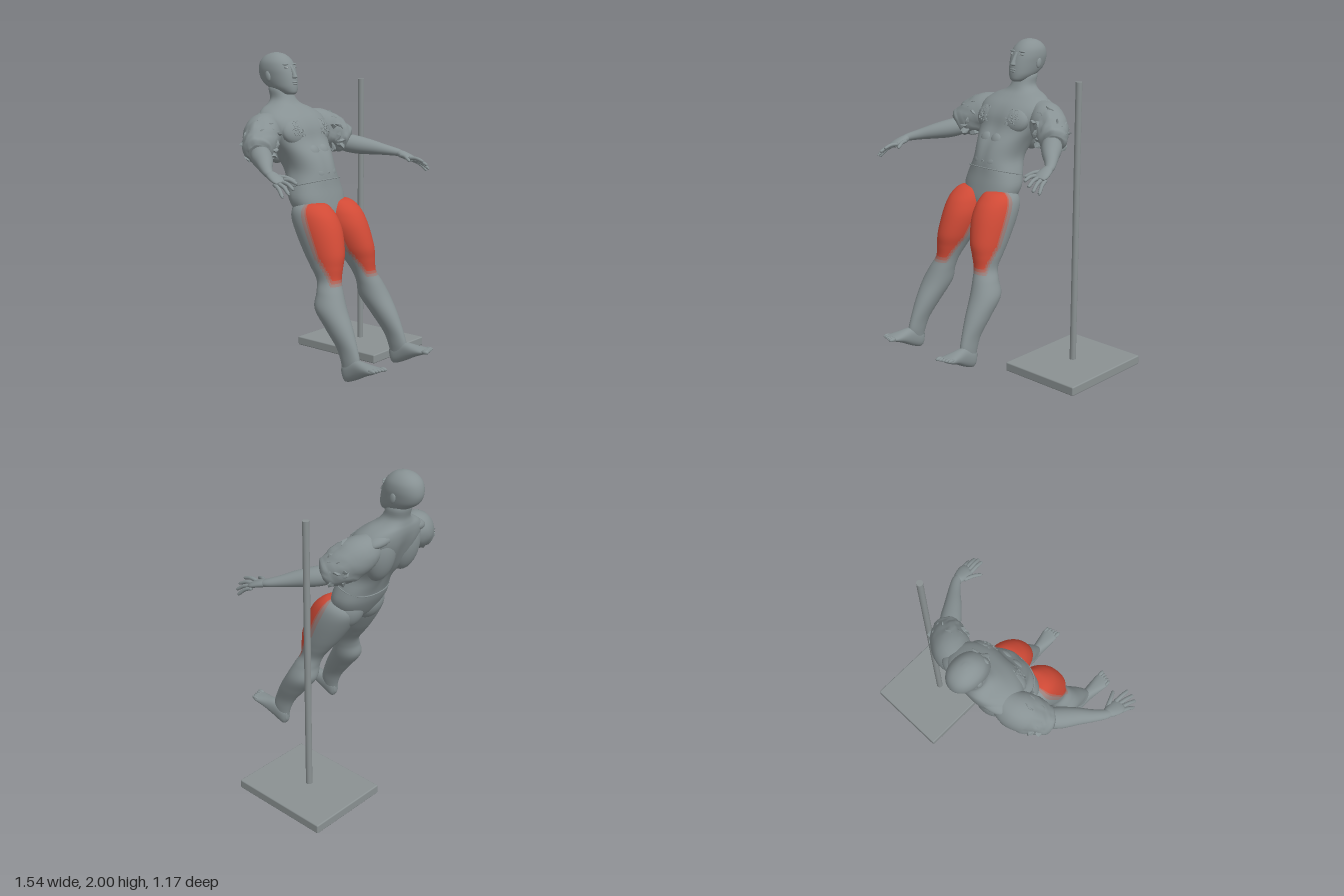
import * as THREE from 'three';
import { RoundedBoxGeometry } from 'three/addons/geometries/RoundedBoxGeometry.js';

const CX = -0.085; // body centre line
const V = (x, y, z) => new THREE.Vector3(x, y, z);
const X = V(1, 0, 0), Y = V(0, 1, 0), Z = V(0, 0, 1);
const material = (name, color, extra = {}) => Object.assign(new THREE.MeshStandardMaterial({ color, ...extra }), { name });
const rand = (i, j = 0) => { const n = Math.sin(i * 12.9898 + j * 78.233) * 43758.5453; return n - Math.floor(n); };
const power = (c, p) => Math.sign(c) * Math.abs(c) ** (2 / p);

// Catmull-Rom subdivision of rows of numbers
function refine(rows, n) {
  const out = [], last = rows.length - 1;
  for (let i = 0; i < last; i++) {
    const [p, a, b, q] = [rows[Math.max(i - 1, 0)], rows[i], rows[i + 1], rows[Math.min(i + 2, last)]];
    for (let k = 0; k < n; k++) {
      const t = k / n;
      out.push(a.map((_, j) => a[j] + 0.5 * t * (b[j] - p[j] + t * (2 * p[j] - 5 * a[j] + 4 * b[j] - q[j]
        + t * (3 * (a[j] - b[j]) + q[j] - p[j])))));
    }
  }
  out.push(rows[last]);
  return out;
}

// Sweeps superellipse sections; rows are [x, y, z, halfU, halfV].
// A fixed axis gives parallel sections, otherwise they follow the path.
function loft(rows, { axis, n = 4, seg = 32, p = 2, mod, paint } = {}) {
  const R = refine(rows, n), pos = [], idx = [[], [], [], []];
  R.forEach((r, i) => {
    const a = R[Math.max(i - 1, 0)], b = R[Math.min(i + 1, R.length - 1)];
    const t = axis || V(b[0] - a[0], b[1] - a[1], b[2] - a[2]).normalize();
    const u = axis ? X : Y.clone().cross(t).normalize();
    const v = u.clone().cross(t);
    for (let k = 0; k < seg; k++) {
      const th = (k / seg) * Math.PI * 2, c = Math.cos(th), s = Math.sin(th);
      const m = mod ? mod(c, s, r[1], i, k) : 1;
      const q = V(r[0], r[1], r[2]).addScaledVector(u, power(c, p) * r[3] * m).addScaledVector(v, power(s, p) * r[4] * m);
      pos.push(q.x, q.y, q.z);
    }
  });
  for (let i = 0; i < R.length - 1; i++) for (let k = 0; k < seg; k++) {
    const a = i * seg + k, b = i * seg + (k + 1) % seg;
    const g = paint ? paint(Math.sin(((k + 0.5) / seg) * Math.PI * 2), (R[i][1] + R[i + 1][1]) / 2) : 0;
    idx[g].push(a, a + seg, b, b, a + seg, b + seg);
  }
  const top = (R.length - 1) * seg, c0 = pos.length / 3, c1 = c0 + 1;
  pos.push(...R[0].slice(0, 3), ...R[R.length - 1].slice(0, 3));
  for (let k = 0; k < seg; k++) {
    const l = (k + 1) % seg;
    idx[0].push(c0, k, l, c1, top + l, top + k);
  }
  const geo = new THREE.BufferGeometry();
  geo.setAttribute('position', new THREE.Float32BufferAttribute(pos, 3));
  geo.setIndex(idx.flat());
  if (paint) {
    let start = 0;
    idx.forEach((list, g) => { geo.addGroup(start, list.length, g); start += list.length; });
  }
  geo.computeVertexNormals();
  return geo;
}

// Horizontal section given by its front and back depth
const slice = (x, [y, front, back, hw]) => [x, y, (front + back) / 2, hw, (front - back) / 2];

export function createModel() {
  const model = new THREE.Group();
  const skin = material('body grey', 0x879193), red = material('muscle red', 0xd04a36);
  const fadeRed = material('faded red', 0xb5685c), fadeGrey = material('reddish grey', 0x9b807c);
  const stand = material('stand grey', 0x8a9192), eyeGrey = material('eye grey', 0xa9b0b1);
  const rough = material('torn grey', 0x879193, { flatShading: true, side: THREE.DoubleSide });

  const add = (name, geo, mat, parent = model) => {
    const mesh = new THREE.Mesh(geo, mat);
    mesh.name = name;
    parent.add(mesh);
    return mesh;
  };
  const ball = (name, at, size, mat, parent, tilt = 0) => {
    const mesh = add(name, new THREE.SphereGeometry(1, 24, 16), mat, parent);
    mesh.position.set(...at);
    mesh.scale.set(...size);
    mesh.rotation.x = tilt;
    return mesh;
  };

  // Stand
  add('standBase', new RoundedBoxGeometry(0.54, 0.058, 0.66, 2, 0.008), stand).position.set(0.497, 0.031, -0.25);
  add('standPole', new THREE.CylinderGeometry(0.02, 0.02, 1.76, 24), stand).position.set(0.495, 0.935, -0.25);

  const body = new THREE.Group();
  body.name = 'figure';
  body.position.x = CX;
  model.add(body);

  // Torso and neck, with a spine groove and an abdominal groove
  const torso = [
    [0.955, -0.03, -0.14, 0.03], [0.985, 0, -0.18, 0.1], [1.04, 0.01, -0.22, 0.17], [1.12, -0.003, -0.265, 0.198],
    [1.2, -0.02, -0.295, 0.18], [1.29, -0.033, -0.345, 0.148], [1.38, -0.07, -0.41, 0.165],
    [1.47, -0.135, -0.455, 0.205], [1.55, -0.165, -0.485, 0.235], [1.61, -0.21, -0.495, 0.232],
    [1.655, -0.27, -0.495, 0.18], [1.685, -0.31, -0.49, 0.11], [1.72, -0.335, -0.487, 0.076],
    [1.77, -0.36, -0.5, 0.073], [1.8, -0.38, -0.5, 0.06]];
  const groove = (c, s, y) => {
    const h = Math.exp(-(((y - 1.42) / 0.18) ** 4));
    return 1 - h * (s < 0 ? 0.12 : 0.05) * Math.exp(-((c / 0.17) ** 2));
  };
  add('torso', loft(torso.map((r) => slice(0, r)), { axis: Y, seg: 64, p: 2.35, mod: groove }), skin, body);

  // Slanted waist seam and navel
  const seam = Array.from({ length: 32 }, (_, i) => {
    const a = (i / 32) * Math.PI * 2, s = power(Math.sin(a), 2.35);
    return V(power(Math.cos(a), 2.35) * 0.179, 1.207 + 0.035 * s, -0.157 + 0.131 * s);
  });
  add('waistSeam', new THREE.TubeGeometry(new THREE.CatmullRomCurve3(seam, true), 80, 0.004, 6, true), skin, body);
  const navel = add('navel', new THREE.TorusGeometry(0.009, 0.004, 8, 16), skin, body);
  navel.position.set(0, 1.275, -0.037);

  // Head: chin, face, crown
  const head = [
    [1.742, -0.325, -0.42, 0.03], [1.755, -0.306, -0.45, 0.048], [1.785, -0.303, -0.51, 0.071],
    [1.82, -0.307, -0.56, 0.083], [1.86, -0.316, -0.582, 0.09], [1.9, -0.33, -0.585, 0.094],
    [1.94, -0.35, -0.574, 0.088], [1.97, -0.378, -0.55, 0.069], [1.99, -0.41, -0.515, 0.043], [2, -0.45, -0.475, 0.012]];
  add('head', loft(head.map((r) => slice(0, r)), { axis: Y, seg: 40, p: 2.15 }), skin, body);
  add('nose', loft([[0, 1.842, -0.316, 0.014, 0.008], [0, 1.85, -0.312, 0.018, 0.02], [0, 1.865, -0.316, 0.014, 0.018],
    [0, 1.895, -0.33, 0.011, 0.014], [0, 1.925, -0.347, 0.012, 0.008]], { axis: Y, seg: 16 }), skin, body);
  ball('upperLip', [0, 1.82, -0.308], [0.024, 0.006, 0.008], skin, body);
  ball('lowerLip', [0, 1.808, -0.306], [0.02, 0.006, 0.008], skin, body);

  for (const s of [1, -1]) {
    const side = new THREE.Group();
    side.name = s > 0 ? 'leftSide' : 'rightSide';
    body.add(side);
    const mirror = (rows) => rows.map((r) => [r[0] * s, ...r.slice(1)]);

    // Face details
    ball('eyelid', [s * 0.036, 1.911, -0.347], [0.019, 0.009, 0.009], skin, side);
    ball('eye', [s * 0.036, 1.909, -0.343], [0.012, 0.004, 0.007], eyeGrey, side);
    ball('brow', [s * 0.036, 1.929, -0.353], [0.026, 0.007, 0.01], skin, side);
    ball('ear', [s * 0.091, 1.855, -0.452], [0.011, 0.033, 0.02], skin, side, -0.25);

    // Chest, shoulder blade and buttock masses
    ball('chestMuscle', [s * 0.1, 1.525, -0.225], [0.105, 0.09, 0.06], skin, side, -0.45);
    ball('backMuscle', [s * 0.11, 1.49, -0.39], [0.1, 0.17, 0.08], skin, side, -0.2);
    ball('trapezius', [s * 0.1, 1.625, -0.41], [0.15, 0.045, 0.07], skin, side).rotation.z = -s * 0.25;
    ball('buttock', [s * 0.09, 1.03, -0.128], [0.1, 0.125, 0.088], skin, side, -0.4);

    // Abdominal blocks
    for (let i = 0; i < 3; i++)
      ball('abdominal', [s * 0.042, 1.285 + i * 0.062, -0.062 - i * 0.028], [0.045, 0.042, 0.024], skin, side, -0.45);

    // Crumpled creases on the chest
    for (let i = 0; i < 14; i++) {
      const x = 0.075 + 0.09 * rand(i, 1), y = 1.51 + 0.08 * rand(i, 2);
      const pts = [0, 1, 2, 3].map((k) => {
        const px = x + k * 0.011 - 0.016, py = y + 0.022 * (rand(i, k + 5) - 0.5);
        const d = 1 - ((px - 0.1) / 0.105) ** 2 - ((py - 1.525) / 0.1) ** 2;
        return V(s * px, py, -0.226 - (py - 1.525) * 0.4 + 0.066 * Math.sqrt(Math.max(d, 0)));
      });
      add('chestCrease', new THREE.TubeGeometry(new THREE.CatmullRomCurve3(pts), 6, 0.004, 5), rough, side);
    }

    // Upper arm with a ragged surface
    const upper = [[0.15, 1.565, -0.365, 0.08, 0.08], [0.235, 1.535, -0.35, 0.11, 0.112], [0.305, 1.495, -0.31, 0.115, 0.116],
      [0.365, 1.458, -0.27, 0.1, 0.102], [0.405, 1.435, -0.24, 0.085, 0.085], [0.42, 1.425, -0.225, 0.055, 0.055]];
    const ragged = (c, v, y, i, k) => 1 + (i > 7 ? 0.15 : 0.02) * (rand(i >> 1, k >> 1) - 0.5);
    add('upperArm', loft(mirror(upper), { mod: ragged }), skin, side);
    for (let i = 0; i < 22; i++) {
      const a = i * 2.4, f = rand(i, 3), r = 0.104 - 0.022 * f;
      const flap = add('tornFlap', new THREE.TetrahedronGeometry(0.03 + 0.012 * rand(i, 4), 1), rough, side);
      flap.position.set(s * (0.315 + 0.08 * f + r * 0.6 * Math.cos(a)), 1.49 - 0.055 * f + r * Math.sin(a), -0.305 + 0.065 * f - r * 0.75 * Math.cos(a));
      flap.rotation.set(a, s * a * 1.7, f * 5);
      flap.scale.set(1.1, 0.55, 0.9);
    }

    // Forearm, palm and fingers
    add('forearm', loft(mirror([[0.37, 1.43, -0.26, 0.045, 0.045], [0.4, 1.415, -0.225, 0.06, 0.058], [0.445, 1.4, -0.17, 0.063, 0.058],
      [0.5, 1.385, -0.1, 0.052, 0.048], [0.56, 1.367, -0.03, 0.038, 0.034], [0.607, 1.351, 0.035, 0.029, 0.024],
      [0.615, 1.34, 0.075, 0.026, 0.018]])), skin, side);
    add('palm', loft(mirror([[0.6, 1.354, 0.02, 0.012, 0.01], [0.608, 1.346, 0.05, 0.03, 0.022], [0.616, 1.335, 0.085, 0.04, 0.022],
      [0.624, 1.318, 0.13, 0.044, 0.018], [0.628, 1.308, 0.155, 0.034, 0.011]])), skin, side);
    const fingers = [[0.585, 1.335, 0.075, 0.543, 1.315, 0.182], [0.593, 1.322, 0.14, 0.598, 1.312, 0.245],
      [0.616, 1.314, 0.145, 0.633, 1.286, 0.252], [0.637, 1.306, 0.14, 0.661, 1.262, 0.245], [0.653, 1.302, 0.125, 0.68, 1.246, 0.215]];
    for (const [x, y, z, tx, ty, tz] of fingers)
      add('finger', loft(mirror([[x, y, z, 0.013, 0.012], [(x + tx) / 2, (y + ty) / 2 + 0.008, (z + tz) / 2, 0.012, 0.011],
        [tx, ty, tz - 0.008, 0.01, 0.009], [tx, ty - 0.002, tz, 0.004, 0.004]]), { seg: 12 }), skin, side);

    // Leg, with the front thigh muscle in red fading out at its edges
    const leg = [
      [0.235, 0.13, 0.37, 0.28, 0.03], [0.232, 0.2, 0.395, 0.262, 0.036], [0.228, 0.28, 0.375, 0.225, 0.043],
      [0.222, 0.39, 0.325, 0.14, 0.068], [0.212, 0.5, 0.262, 0.058, 0.088], [0.19, 0.59, 0.218, 0.052, 0.078],
      [0.167, 0.66, 0.188, 0.03, 0.069], [0.155, 0.74, 0.187, -0.03, 0.085], [0.142, 0.82, 0.185, -0.09, 0.104],
      [0.126, 0.94, 0.15, -0.165, 0.122], [0.122, 1.02, 0.11, -0.2, 0.119], [0.12, 1.07, 0.065, -0.19, 0.104],
      [0.115, 1.1, 0.02, -0.15, 0.075], [0.115, 1.11, -0.03, -0.1, 0.03]];
    const paint = (v, y) => {
      const inside = Math.min(v - 0.28 - Math.max(0, (0.8 - y) * 3.9), (y - 0.665) * 8);
      return inside > 0 ? 1 : inside > -0.14 ? 2 : inside > -0.28 ? 3 : 0;
    };
    add('leg', loft(leg.map(([x, ...r]) => slice(s * x, r)), { axis: Y, seg: 72, n: 8, p: 2.1, paint }),
      [skin, red, fadeRed, fadeGrey], side);

    // Foot and toes
    add('foot', loft(mirror([[0.235, 0.15, 0.275, 0.018, 0.03], [0.235, 0.14, 0.305, 0.034, 0.06], [0.238, 0.166, 0.38, 0.038, 0.06],
      [0.243, 0.184, 0.46, 0.047, 0.036], [0.248, 0.194, 0.52, 0.053, 0.02], [0.248, 0.2, 0.55, 0.047, 0.012]]), { axis: Z, p: 2.3 }), skin, side);
    for (let i = 0; i < 5; i++)
      ball('toe', [s * (0.209 + i * 0.02), 0.203, 0.557 - i * 0.006], [i ? 0.01 : 0.014, i ? 0.011 : 0.013, 0.026], skin, side);
  }
  return model;
}
